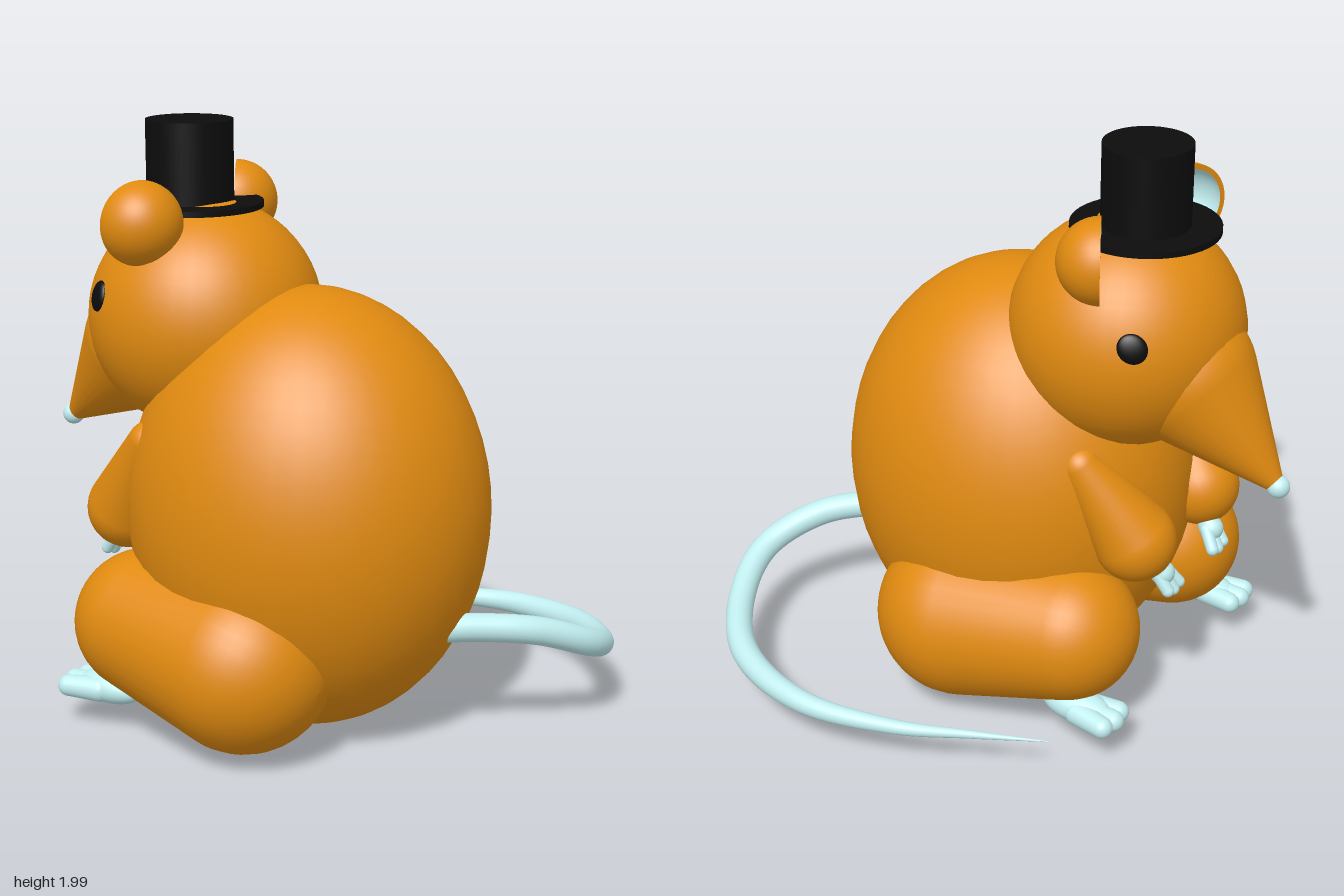
import * as THREE from 'three';

const MID = 0.155; // z of the animal's plane of symmetry (it faces -x)
const V = (x, y, z) => new THREE.Vector3(x, y, z);
const UP = V(0, 1, 0);
const paint = (color) => new THREE.MeshStandardMaterial({ color });

export function createModel() {
  const model = new THREE.Group();
  const fur = paint(0xe08a10), skin = paint(0xc2eef0), black = paint(0x0c0c0c);
  const innerSkin = paint(0xc2eef0);
  innerSkin.side = THREE.DoubleSide;

  function add(name, geometry, material, parent = model) {
    const mesh = new THREE.Mesh(geometry, material);
    mesh.name = name;
    parent.add(mesh);
    return mesh;
  }

  function ellipsoid(name, c, r, material, parent) {
    const mesh = add(name, new THREE.SphereGeometry(1, 40, 28), material, parent);
    mesh.position.copy(c);
    mesh.scale.copy(r);
    return mesh;
  }

  // Smooth hull of two spheres, for limbs, toes and snout
  function limb(name, p0, r0, p1, r1, material, parent) {
    const axis = p1.clone().sub(p0), d = axis.length();
    const tilt = Math.asin((r0 - r1) / d), points = [], n = 14;
    const arc = (y, r, from, to) => {
      for (let i = 0; i <= n; i++) {
        const a = from + (to - from) * i / n;
        points.push(new THREE.Vector2(Math.max(0, r * Math.cos(a)), y + r * Math.sin(a)));
      }
    };
    arc(0, r0, -Math.PI / 2, tilt);
    arc(d, r1, tilt, Math.PI / 2);
    const mesh = add(name, new THREE.LatheGeometry(points, 36), material, parent);
    mesh.position.copy(p0);
    mesh.quaternion.setFromUnitVectors(UP, axis.normalize());
    return mesh;
  }

  // Body, head and snout
  ellipsoid('body', V(0.055, 0.75, MID), V(0.615, 0.74, 0.568), fur);
  ellipsoid('head', V(-0.347, 1.355, MID), V(0.391, 0.391, 0.391), fur);
  limb('snout', V(-0.905, 0.943, MID), 0.032, V(-0.565, 1.248, MID), 0.235, fur);
  ellipsoid('nose', V(-0.923, 0.93, MID), V(0.038, 0.038, 0.038), skin);

  // Top hat
  const crown = add('hatCrown', new THREE.CylinderGeometry(0.145, 0.145, 0.29, 48), black);
  crown.position.set(-0.41, 1.855, MID - 0.01);
  const brim = add('hatBrim', new THREE.CylinderGeometry(0.243, 0.243, 0.02, 48), black);
  brim.position.set(-0.41, 1.721, MID - 0.01);

  // Paired parts
  for (const s of [1, -1]) {
    const at = (x, y, off) => V(x, y, MID + s * off);
    const side = s > 0 ? 'left' : 'right';

    // Eye, flattened against the head
    const eyeDir = V(-0.203, 0.095, s * 0.32).normalize();
    const eye = ellipsoid(side + 'Eye', V(-0.347, 1.355, MID).addScaledVector(eyeDir, 0.387),
      V(0.046, 0.051, 0.018), black);
    eye.quaternion.setFromUnitVectors(V(0, 0, 1), eyeDir);

    // Ear: hollow bowl opening forward and inward
    const ear = new THREE.Group();
    ear.name = side + 'Ear';
    ear.position.copy(at(-0.405, 1.695, 0.278));
    ear.quaternion.setFromUnitVectors(UP, V(0.86, 0, s * 0.5).normalize());
    model.add(ear);
    const dome = (r) => new THREE.SphereGeometry(r, 36, 16, 0, Math.PI * 2, 0, Math.PI / 2);
    add('earShell', dome(0.139), fur, ear);
    add('earInside', dome(0.122), innerSkin, ear);
    add('earRim', new THREE.RingGeometry(0.122, 0.139, 36), fur, ear).rotation.x = Math.PI / 2;

    // Arm and three-fingered hand
    limb(side + 'Arm', at(-0.525, 0.71, 0.22), 0.138, at(-0.367, 0.983, 0.31), 0.068, fur);
    const hand = new THREE.Group();
    hand.name = side + 'Hand';
    model.add(hand);
    limb('palm', at(-0.56, 0.64, 0.19), 0.035, at(-0.605, 0.585, 0.17), 0.042, skin, hand);
    for (const k of [-1, 0, 1]) {
      limb('finger', at(-0.6, 0.59, 0.17 + k * 0.025), 0.022,
        at(-0.64, 0.525 + 0.01 * Math.abs(k), 0.155 + k * 0.036), 0.021, skin, hand);
    }

    // Haunch and three-toed foot
    limb(side + 'Leg', at(0.05, 0.325, 0.385), 0.295, at(-0.355, 0.378, 0.355), 0.242, fur);
    const foot = new THREE.Group();
    foot.name = side + 'Foot';
    model.add(foot);
    ellipsoid('sole', at(-0.45, 0.152, 0.44), V(0.13, 0.055, 0.066), skin, foot);
    for (const k of [-1, 0, 1]) {
      limb('toe', at(-0.47, 0.148, 0.445 + k * 0.03), 0.042,
        at(-0.593 + 0.012 * Math.abs(k), 0.148, 0.448 + k * 0.053), 0.036, skin, foot);
    }
  }

  // Tail: a tube thinned towards its tip
  const path = new THREE.CatmullRomCurve3([
    V(0.48, 0.41, 0.2), V(0.64, 0.41, 0.075), V(0.8, 0.385, -0.065), V(0.905, 0.305, -0.25),
    V(0.85, 0.23, -0.46), V(0.65, 0.185, -0.69), V(0.33, 0.165, -0.792),
    V(0, 0.152, -0.725), V(-0.24, 0.145, -0.61), V(-0.47, 0.142, -0.5),
  ]);
  const rings = 90, sides = 20;
  const tail = new THREE.TubeGeometry(path, rings, 0.047, sides, false);
  const pos = tail.attributes.position, v = V(0, 0, 0);
  for (let i = 0; i <= rings; i++) {
    const u = i / rings, c = path.getPointAt(u);
    const k = u < 0.5 ? 1 : 1 - 0.97 * Math.pow((u - 0.5) / 0.5, 1.3);
    for (let j = 0; j <= sides; j++) {
      const n = i * (sides + 1) + j;
      v.fromBufferAttribute(pos, n).sub(c).multiplyScalar(k).add(c);
      pos.setXYZ(n, v.x, v.y, v.z);
    }
  }
  add('tail', tail, skin);

  return model;
}
